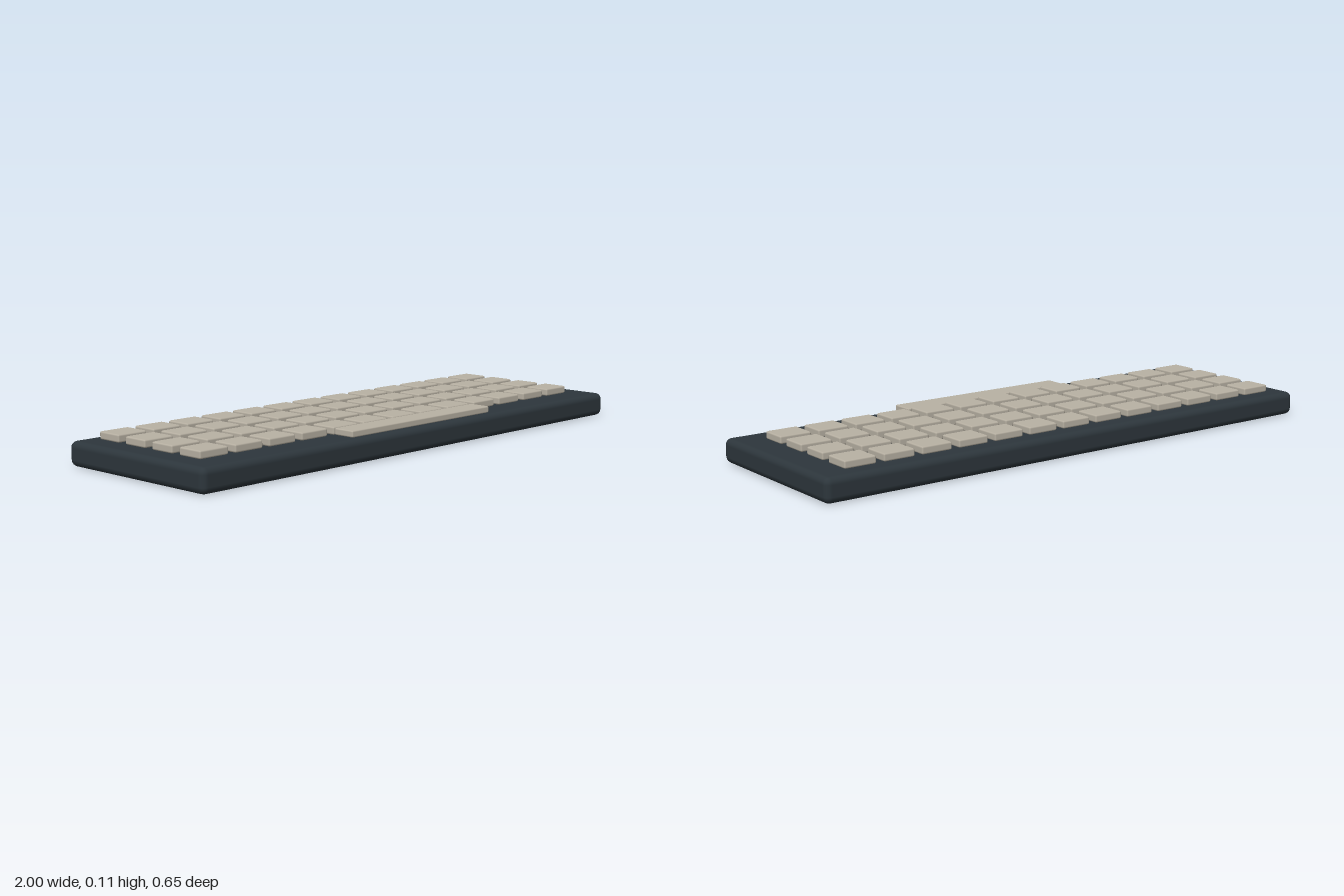
import * as THREE from 'three';
import { RoundedBoxGeometry } from 'three/addons/geometries/RoundedBoxGeometry.js';

export function createModel() {
  const group = new THREE.Group();
  const caseMaterial = new THREE.MeshStandardMaterial({ color: 0x2d363c });
  const keyMaterial = new THREE.MeshStandardMaterial({ color: 0xb9b2a4 });

  function add(parent, name, geometry, material, x, y, z) {
    const mesh = new THREE.Mesh(geometry, material);
    mesh.name = name;
    mesh.position.set(x, y, z);
    parent.add(mesh);
    return mesh;
  }

  // Slab-shaped case with softened edges
  add(group, 'case', new RoundedBoxGeometry(2, 0.084, 0.65, 2, 0.023), caseMaterial, 0, 0.042, 0);

  // Four rows of thirteen square keycaps
  const keys = new THREE.Group();
  keys.name = 'keys';
  group.add(keys);
  const keyGeometry = new RoundedBoxGeometry(0.115, 0.027, 0.097, 1, 0.006);
  const pitchX = 0.142, pitchZ = 0.1305;
  for (let row = 0; row < 4; row++) {
    for (let col = 0; col < 13; col++) {
      add(keys, 'key', keyGeometry, keyMaterial,
        -0.863 + col * pitchX, 0.098, -0.218 + row * pitchZ);
    }
  }

  // Long space bar along the front edge
  add(group, 'spaceBar', new RoundedBoxGeometry(0.69, 0.023, 0.082, 1, 0.005), keyMaterial,
    -0.003, 0.0965, 0.262);

  return group;
}
